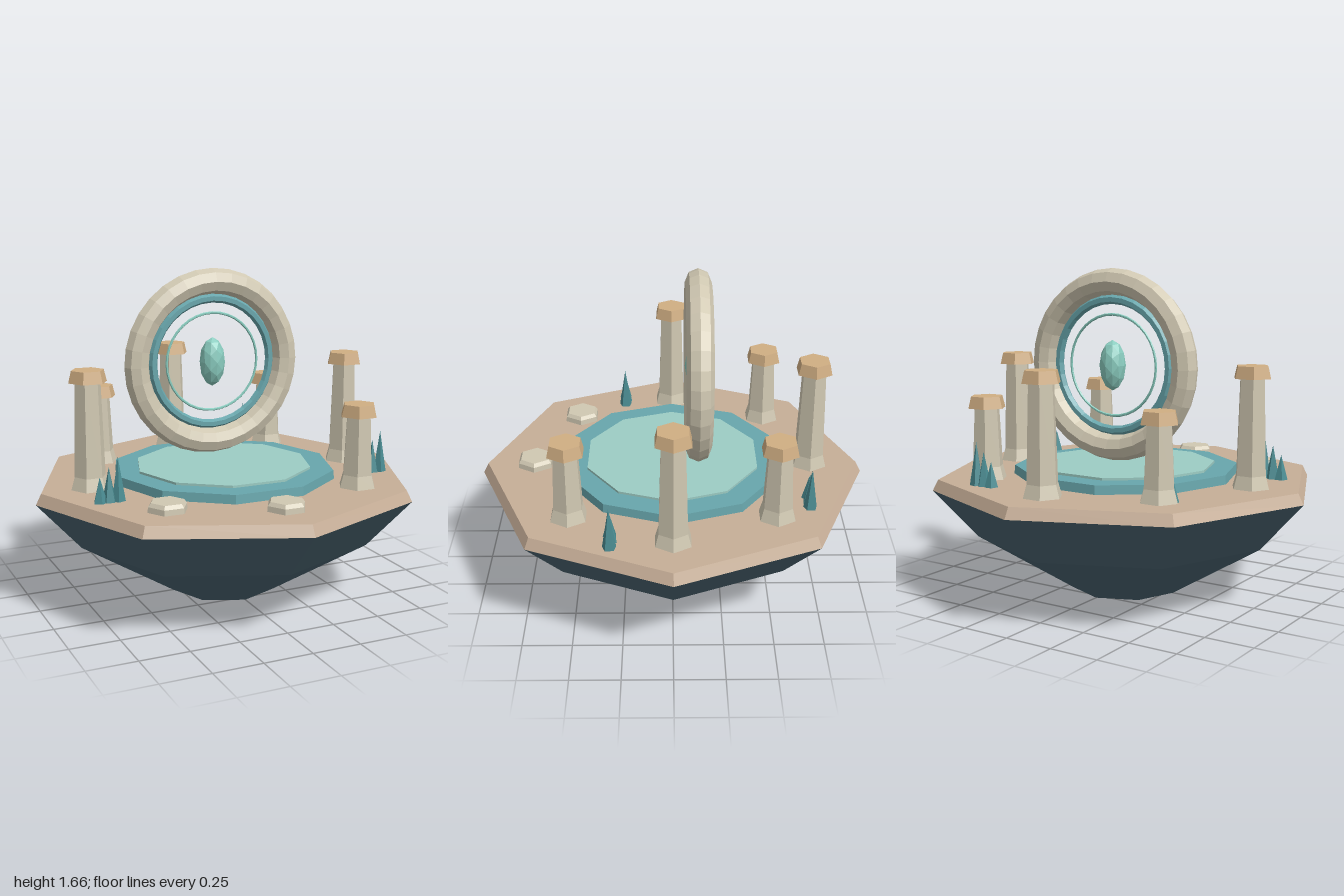
import * as THREE from 'three';

const paint = (name, color) => {
  const m = new THREE.MeshStandardMaterial({ color, flatShading: true });
  m.name = name;
  return m;
};

export function createModel() {
  const rock = paint('slate rock', 0x49636f);
  const paving = paint('tan paving', 0xc6ae97);
  const stone = paint('pale stone', 0xd0c8b2);
  const capTan = paint('cap sandstone', 0xd0ae83);
  const teal = paint('teal rim', 0x68a6ac);
  const water = paint('pale water', 0x9cccc4);
  const crystalTeal = paint('crystal teal', 0x4b8d93);
  const gemGreen = paint('gem green', 0x8accbf);

  const model = new THREE.Group();
  model.name = 'floatingShrine';

  const add = (parent, name, geometry, material, x = 0, y = 0, z = 0) => {
    const mesh = new THREE.Mesh(geometry, material);
    mesh.name = name;
    mesh.position.set(x, y, z);
    parent.add(mesh);
    return mesh;
  };
  // Faceted solid from [radius, height] steps, with a corner on the x axis
  const faceted = (steps, sides) => {
    const points = [[0, steps[0][1]], ...steps, [0, steps.at(-1)[1]]];
    return new THREE.LatheGeometry(points.map(([r, y]) => new THREE.Vector2(r, y)), sides, Math.PI / 2);
  };

  // Island
  add(model, 'rockBase', faceted([[0.285, 0], [0.775, 0.3], [1, 0.55]], 8), rock);
  add(model, 'terrace', faceted([[1, 0.55], [0.972, 0.605]], 8), paving);

  // Pool
  add(model, 'poolRim', faceted([[0.585, 0.6], [0.58, 0.65]], 10), teal);
  add(model, 'poolWater', faceted([[0.46, 0.64], [0.46, 0.662]], 10), water);

  // Pillars and broken stumps around the pool
  const floor = 0.6;
  const addPillar = (x, z, top) => {
    const pillar = new THREE.Group();
    pillar.name = 'pillar';
    pillar.position.set(x, 0, z);
    add(pillar, 'pillarShaft', faceted([[0.1, floor], [0.08, 0.67], [0.065, top - 0.055]], 6), stone);
    add(pillar, 'pillarCap', faceted([[0.098, top - 0.06], [0.083, top]], 6), capTan);
    model.add(pillar);
  };
  for (let i = 0; i < 8; i++) {
    const angle = (i * Math.PI) / 4;
    const x = 0.72 * Math.cos(angle);
    const z = 0.72 * Math.sin(angle);
    if (i === 2 || i === 3) {
      add(model, 'stump', faceted([[0.1, floor], [0.097, 0.632], [0.083, 0.65]], 6), stone, x, 0, z);
    } else {
      addPillar(x, z, i % 2 ? 1.025 : 1.2);
    }
  }

  // Crystal clusters: three spikes rising towards +x
  for (const [x, z] of [[0.39, -0.68], [-0.71, 0.265], [0.725, 0.3], [-0.52, -0.49]]) {
    const cluster = new THREE.Group();
    cluster.name = 'crystalCluster';
    cluster.position.set(x, floor, z);
    [0.13, 0.175, 0.22].forEach((height, i) => {
      add(cluster, 'crystal', new THREE.ConeGeometry(0.036, height, 5), crystalTeal, (i - 1) * 0.046, height / 2, 0)
        .rotation.y = i * 0.5;
    });
    model.add(cluster);
  }

  // Standing portal with nested rings and a hovering gem
  const portal = new THREE.Group();
  portal.name = 'portal';
  portal.position.set(0, 1.175, -0.13);
  add(portal, 'stoneRing', new THREE.TorusGeometry(0.42, 0.066, 8, 32), stone);
  add(portal, 'tealRing', new THREE.TorusGeometry(0.331, 0.023, 6, 32), teal);
  add(portal, 'thinRing', new THREE.TorusGeometry(0.256, 0.007, 6, 36), gemGreen);
  add(portal, 'gem', new THREE.IcosahedronGeometry(1, 1), gemGreen).scale.set(0.067, 0.128, 0.067);
  model.add(portal);

  return model;
}
